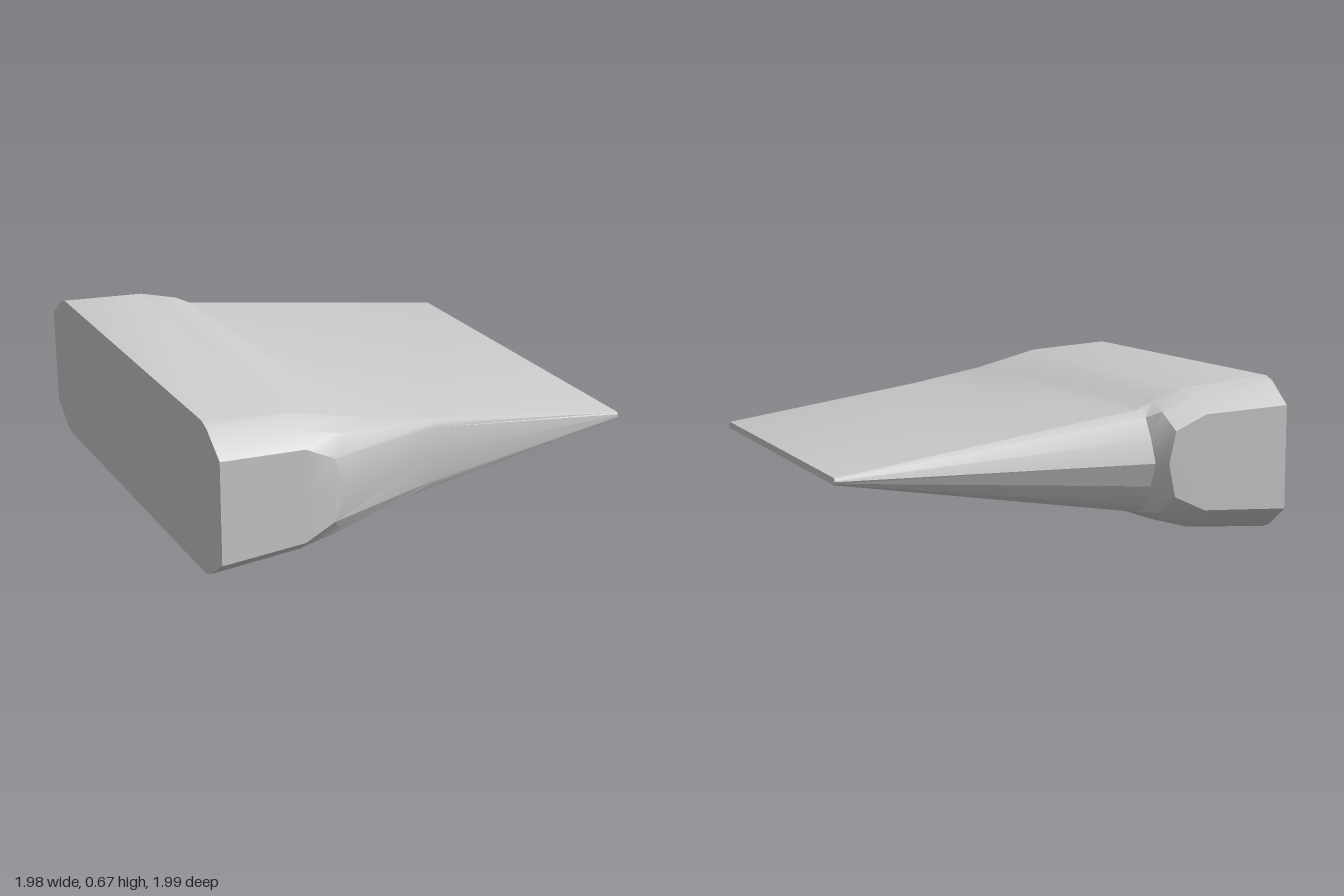
import * as THREE from 'three';
import { toCreasedNormals } from 'three/addons/utils/BufferGeometryUtils.js';

const MID = 0.335; // height of the symmetry plane

// Each section: [x, z, half height] from the front edge over the top to the back edge.
const buttEnd = [
  [-0.99, 0.995, 0], [-0.99, 0.995, 0.225], [-0.99, 0.87, 0.318], [-0.99, 0.82, 0.335],
  [-0.99, -0.82, 0.335], [-0.99, -0.87, 0.318], [-0.99, -0.995, 0.225], [-0.99, -0.995, 0],
];
const shoulder = [
  [-0.62, 0.995, 0], [-0.62, 0.995, 0.205], [-0.62, 0.93, 0.26], [-0.61, 0.84, 0.305],
  [-0.6, -0.84, 0.305], [-0.6, -0.91, 0.27], [-0.6, -0.995, 0.205], [-0.6, -0.995, 0],
];
const neck = [
  [-0.44, 0.995, 0], [-0.49, 0.995, 0.14], [-0.43, 0.935, 0.215], [-0.3, 0.84, 0.225],
  [-0.42, -0.85, 0.255], [-0.43, -0.92, 0.215], [-0.46, -0.99, 0.14], [-0.43, -0.99, 0],
];
const bladeRoot = [
  [0.05, 0.857, 0], [0.05, 0.857, 0.122], [0.05, 0.85, 0.14], [0.05, 0.84, 0.16],
  [-0.35, -0.85, 0.22], [-0.37, -0.885, 0.19], [-0.38, -0.92, 0.1], [-0.39, -0.945, 0],
];
const bladeEdge = [
  [0.99, 0.857, 0], [0.99, 0.857, 0.007], [0.99, 0.85, 0.012], [0.99, 0.84, 0.015],
  [0.99, -0.845, 0.015], [0.99, -0.852, 0.012], [0.99, -0.857, 0.007], [0.99, -0.86, 0],
];

// Close a half section by mirroring it below the symmetry plane
function closedRing(half) {
  const top = half.map(([x, z, h]) => [x, MID + h, z]);
  const bottom = half.slice(1, -1).reverse().map(([x, z, h]) => [x, MID - h, z]);
  return [...top, ...bottom];
}

function loft(sections) {
  const rings = sections.map(closedRing);
  const n = rings[0].length;
  const index = [];
  for (let s = 0; s < rings.length - 1; s++) {
    for (let i = 0; i < n; i++) {
      const j = (i + 1) % n;
      const a = s * n + i, b = s * n + j, c = a + n, d = b + n;
      index.push(a, c, d, a, d, b);
    }
  }
  // Flat end caps
  const last = (rings.length - 1) * n;
  for (let i = 1; i < n - 1; i++) {
    index.push(0, i, i + 1, last, last + i + 1, last + i);
  }
  const geometry = new THREE.BufferGeometry();
  geometry.setAttribute('position', new THREE.Float32BufferAttribute(rings.flat(2), 3));
  geometry.setIndex(index);
  return toCreasedNormals(geometry, 0.45);
}

export function createModel() {
  const group = new THREE.Group();
  group.name = 'wedgeHead';
  const material = new THREE.MeshStandardMaterial({ color: 0xcccccc });

  // Thick butt flowing through the neck into the tapering blade
  const wedge = new THREE.Mesh(loft([buttEnd, shoulder, neck, bladeRoot, bladeEdge]), material);
  wedge.name = 'wedgeBody';
  group.add(wedge);
  return group;
}
